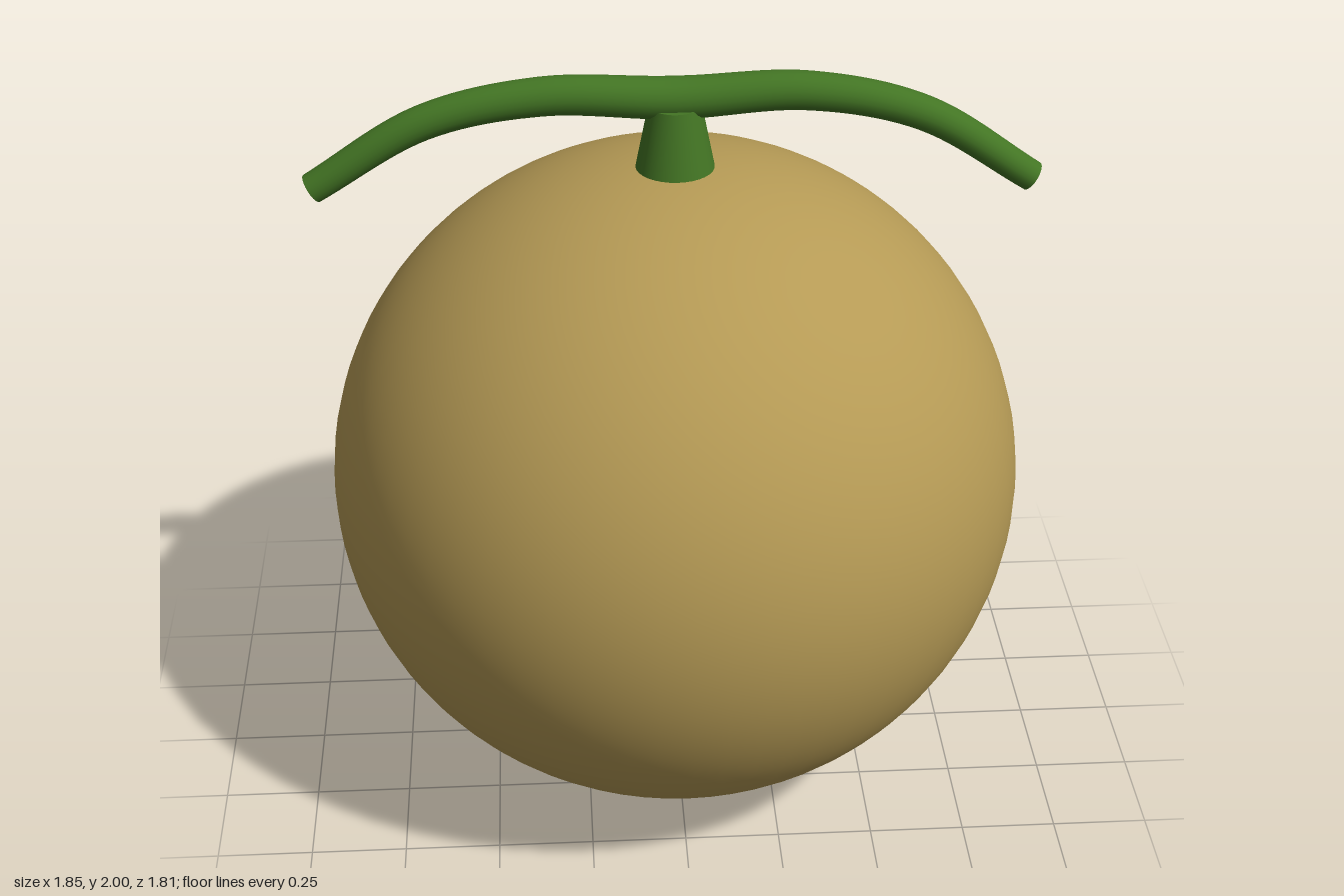
import * as THREE from 'three';

const rind = new THREE.MeshStandardMaterial({ name: 'tanRind', color: 0xb59a55 });
const green = new THREE.MeshStandardMaterial({ name: 'vineGreen', color: 0x437524 });

function addPart(group, name, geometry, material) {
  const mesh = new THREE.Mesh(geometry, material);
  mesh.name = name;
  group.add(mesh);
  return mesh;
}

export function createModel() {
  const model = new THREE.Group();
  model.name = 'melon';

  // Slightly flattened round fruit
  const fruit = addPart(model, 'fruit', new THREE.SphereGeometry(0.905, 64, 48), rind);
  fruit.scale.y = 0.88 / 0.905;
  fruit.position.y = 0.88;

  // Tapered stalk joining fruit and vine
  const stalk = addPart(model, 'stalk', new THREE.CylinderGeometry(0.066, 0.102, 0.18, 32), green);
  stalk.position.y = 1.83;

  // Drooping vine along x, thinner toward its ends
  const path = new THREE.CatmullRomCurve3([
    [-0.905, 1.717], [-0.62, 1.888], [-0.33, 1.949], [0, 1.938],
    [0.33, 1.949], [0.62, 1.882], [0.903, 1.702],
  ].map(([x, y]) => new THREE.Vector3(x, y, 0)));
  const segments = 64, sides = 20;
  const radiusAt = (t) => 0.054 - 0.015 * Math.abs(2 * t - 1);
  const tube = new THREE.TubeGeometry(path, segments, 1, sides);
  const pos = tube.attributes.position;
  const v = new THREE.Vector3();
  for (let i = 0; i <= segments; i++) {
    const centre = path.getPointAt(i / segments);
    for (let j = 0; j <= sides; j++) {
      const k = i * (sides + 1) + j;
      v.fromBufferAttribute(pos, k).sub(centre).multiplyScalar(radiusAt(i / segments)).add(centre);
      pos.setXYZ(k, v.x, v.y, v.z);
    }
  }
  addPart(model, 'vine', tube, green);

  // Flat cut ends of the vine
  for (const t of [0, 1]) {
    const cap = addPart(model, t ? 'leftVineEnd' : 'rightVineEnd',
      new THREE.CircleGeometry(radiusAt(t), sides), green);
    const outward = path.getTangentAt(t).multiplyScalar(t ? 1 : -1);
    cap.position.copy(path.getPointAt(t));
    cap.quaternion.setFromUnitVectors(new THREE.Vector3(0, 0, 1), outward);
  }

  return model;
}
